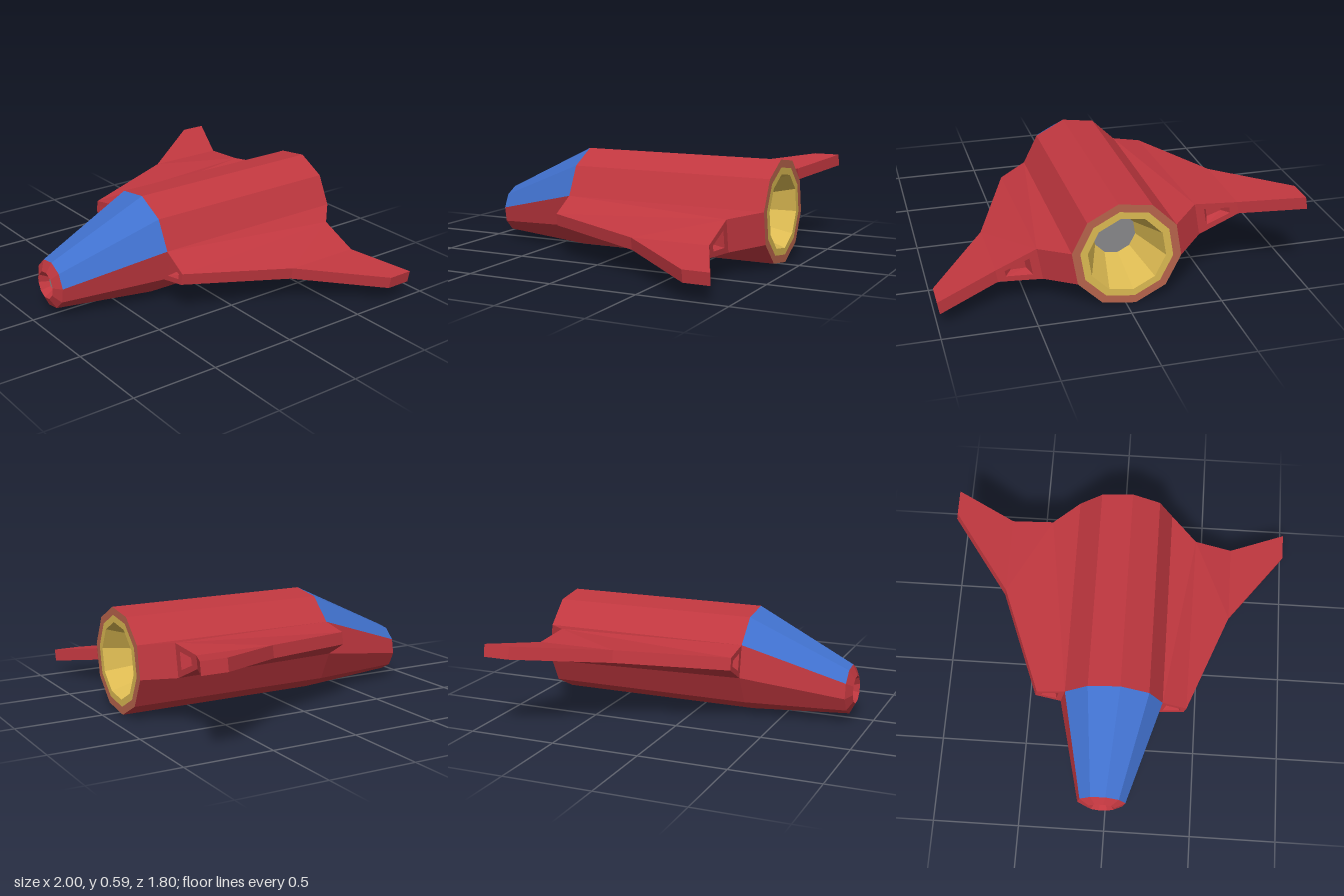
import * as THREE from 'three';

const mat = (name, color) => Object.assign(new THREE.MeshStandardMaterial({ color }), { name });

// Flat-faced mesh from convex polygons, each a loop of [x, y, z]
function polyMesh(name, material, polys) {
  const pos = [];
  for (const p of polys) {
    for (let i = 1; i < p.length - 1; i++) pos.push(...p[0], ...p[i], ...p[i + 1]);
  }
  const g = new THREE.BufferGeometry();
  g.setAttribute('position', new THREE.Float32BufferAttribute(pos, 3));
  g.computeVertexNormals();
  const m = new THREE.Mesh(g, material);
  m.name = name;
  return m;
}

// Ten-sided hull ring
const SIDES = 10;
const ring = (r, z, cy = 0) => Array.from({ length: SIDES }, (_, i) => {
  const a = THREE.MathUtils.degToRad(18 + 36 * i);
  return [r * Math.cos(a), cy + r * Math.sin(a), z];
});

// Faces between two rings, from side index i0 up to i1
function loft(a, b, i0 = 0, i1 = SIDES) {
  const out = [];
  for (let i = i0; i < i1; i++) {
    const j = (i + 1) % SIDES;
    out.push([a[i], b[i], b[j], a[j]]);
  }
  return out;
}

// Wing end face p-q with a tapering recess sunk by dz
function recessedFace(p, q, dz) {
  const quad = (u0, u1, k0, k1, d) => {
    const at = (u, k) => {
      const v = p.map((c, i) => c + (q[i] - c) * u);
      return [v[0], v[1] * k, v[2] + d];
    };
    return [at(u0, -k0), at(u1, -k1), at(u1, k1), at(u0, k0)];
  };
  // the thick end of the face lies beside the hull
  const thickFirst = p[1] > q[1];
  const inset = (a, b, ka, kb, d) =>
    thickFirst ? quad(a, b, ka, kb, d) : quad(1 - b, 1 - a, kb, ka, d);
  const loops = [quad(0, 1, 1, 1, 0), inset(0.2, 0.8, 0.6, 0.35, 0), inset(0.3, 0.65, 0.35, 0.25, dz)];
  const out = [loops[2]];
  for (let n = 0; n < 2; n++) {
    for (let i = 0; i < 4; i++) {
      const j = (i + 1) % 4;
      out.push([loops[n][i], loops[n][j], loops[n + 1][j], loops[n + 1][i]]);
    }
  }
  return out;
}

function wingPolys() {
  const T = 0.035, R = 0.093; // half thickness at edge and at root
  const A = [0.285, R, 0.3], B = [0.44, T, 0.3], C = [0.675, T, -0.3], D = [1.009, T, -0.75];
  const E = [1.009, T, -0.9], F = [0.675, T, -0.75], G = [0.44, R, -0.75], H = [0.285, R, -0.9];
  const low = ([x, y, z]) => [x, -y, z];
  const top = [[A, B, G], [A, G, H], [B, C, G], [C, F, G], [C, D, E, F]];
  const bottom = top.map(p => p.map(low).reverse());
  const walls = [[B, C], [C, D], [D, E], [E, F], [G, H]].map(([p, q]) => [low(p), low(q), q, p]);
  return [...top, ...bottom, ...walls, ...recessedFace(A, B, -0.05), ...recessedFace(F, G, 0.05)];
}

export function createModel() {
  const red = mat('hull red', 0xc0373f);
  const blue = mat('canopy blue', 0x4070cc);
  const yellow = mat('engine yellow', 0xdcba52);
  const brown = mat('engine rim brown', 0xb8644c);
  const gray = mat('core gray', 0x88888a);

  const ship = new THREE.Group();
  ship.name = 'ship';

  // Rings from the nose intake, over the hull, into the engine
  const drop = -0.12;
  const intake = ring(0.045, 0.85, drop), lip = ring(0.08, 0.9, drop), tip = ring(0.14, 0.87, drop);
  const shoulder = ring(0.3, 0.3), tail = ring(0.3, -0.9);
  const rim = ring(0.255, -0.9), mouth = ring(0.215, -0.9), throat = ring(0.12, -0.65);

  ship.add(
    polyMesh('intakeCore', gray, [intake]),
    polyMesh('noseIntake', red, [...loft(intake, lip), ...loft(lip, tip)]),
    polyMesh('canopy', blue, loft(tip, shoulder, 0, 4)),
    polyMesh('noseUnderside', red, loft(tip, shoulder, 4, SIDES)),
    polyMesh('fuselage', red, loft(shoulder, tail)),
    polyMesh('engineRim', brown, loft(tail, rim)),
    polyMesh('engineNozzle', yellow, [...loft(rim, mouth), ...loft(mouth, throat)]),
    polyMesh('engineCore', gray, [[...throat].reverse()]),
  );

  // Wings, mirrored
  const polys = wingPolys();
  const mirrored = polys.map(p => p.map(([x, y, z]) => [-x, y, z]).reverse());
  ship.add(polyMesh('leftWing', red, polys), polyMesh('rightWing', red, mirrored));

  // Slight banking roll
  ship.rotation.z = THREE.MathUtils.degToRad(-10);
  ship.position.y = 0.2955;

  const model = new THREE.Group();
  model.name = 'model';
  model.add(ship);
  return model;
}
